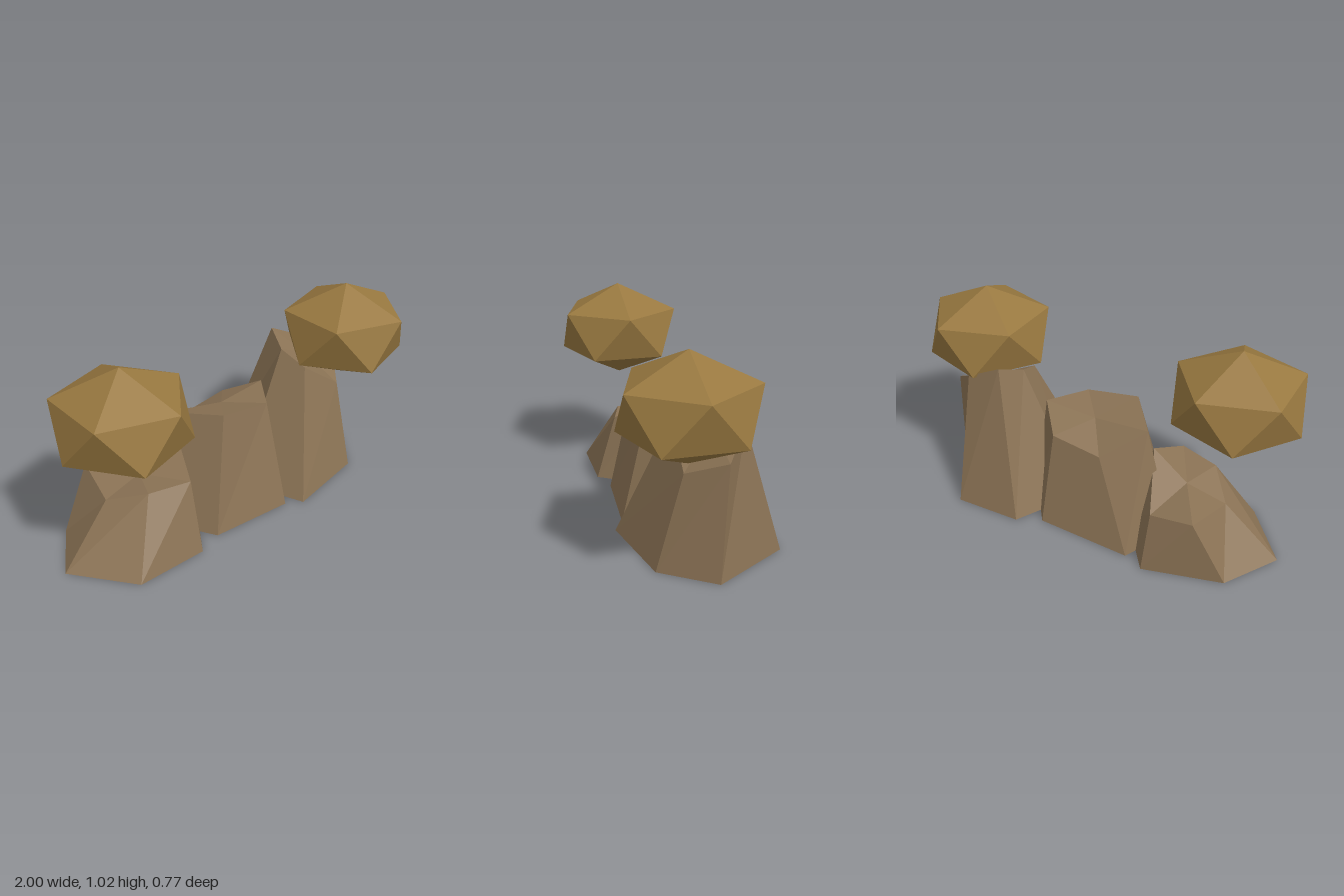
import * as THREE from 'three';

const rockBrown = new THREE.MeshStandardMaterial({ color: 0x8b7355, flatShading: true });
rockBrown.name = 'rock brown';
const ochre = new THREE.MeshStandardMaterial({ color: 0x987840, flatShading: true });
ochre.name = 'ochre';

// Six-sided boulder: base corners [x, z] and top corners [x, y, z],
// both running front-left, front-right, right, back-right, back-left, left.
function boulder(name, base, top) {
  const low = base.map(([x, z]) => new THREE.Vector3(x, 0, z));
  const high = top.map((p) => new THREE.Vector3(...p));
  const middle = (ring) =>
    ring.reduce((sum, p) => sum.add(p), new THREE.Vector3()).divideScalar(ring.length);
  const lowMid = middle(low);
  const highMid = middle(high);
  const points = [];
  for (let i = 0; i < low.length; i++) {
    const j = (i + 1) % low.length;
    points.push(low[i], low[j], high[j], low[i], high[j], high[i]); // side
    points.push(highMid, high[i], high[j]); // sloping top
    points.push(lowMid, low[j], low[i]); // underside
  }
  const geometry = new THREE.BufferGeometry().setFromPoints(points);
  geometry.computeVertexNormals();
  const mesh = new THREE.Mesh(geometry, rockBrown);
  mesh.name = name;
  return mesh;
}

// Squashed icosahedron standing on one corner
function orb(name, x) {
  const radius = 0.347;
  const geometry = new THREE.IcosahedronGeometry(radius, 0);
  geometry.rotateZ(-Math.atan(2 / (1 + Math.sqrt(5))));
  geometry.scale(1, 0.25 / radius, 1);
  const mesh = new THREE.Mesh(geometry, ochre);
  mesh.name = name;
  mesh.position.set(x, 0.77, 0.09);
  return mesh;
}

export function createModel() {
  const model = new THREE.Group();
  model.name = 'rockOutcrop';

  model.add(boulder('lowBoulder',
    [[-0.775, 0.28], [-0.415, 0.28], [-0.2, -0.05], [-0.45, -0.385], [-0.835, -0.28], [-1, -0.01]],
    [[-0.6, 0.34, 0.12], [-0.4, 0.35, 0.18], [-0.32, 0.42, 0], [-0.445, 0.26, -0.29],
      [-0.67, 0.31, -0.315], [-0.727, 0.27, -0.05]]));

  model.add(boulder('middleBoulder',
    [[-0.285, 0.235], [0.145, 0.265], [0.335, -0.06], [0.145, -0.315], [-0.345, -0.34], [-0.47, -0.08]],
    [[-0.16, 0.595, 0.135], [0.122, 0.553, 0.13], [0.255, 0.553, -0.06], [0.125, 0.474, -0.215],
      [-0.13, 0.435, -0.215], [-0.325, 0.575, -0.09]]));

  model.add(boulder('tallBoulder',
    [[0.225, 0.315], [0.66, 0.226], [0.835, -0.02], [0.61, -0.383], [0.265, -0.375], [0.08, -0.03]],
    [[0.42, 0.63, 0.09], [0.66, 0.46, 0.1], [0.79, 0.54, -0.065], [0.635, 0.65, -0.185],
      [0.445, 0.745, -0.19], [0.39, 0.69, -0.055]]));

  model.add(orb('leftOrb', 0.69), orb('rightOrb', -0.69));
  return model;
}
